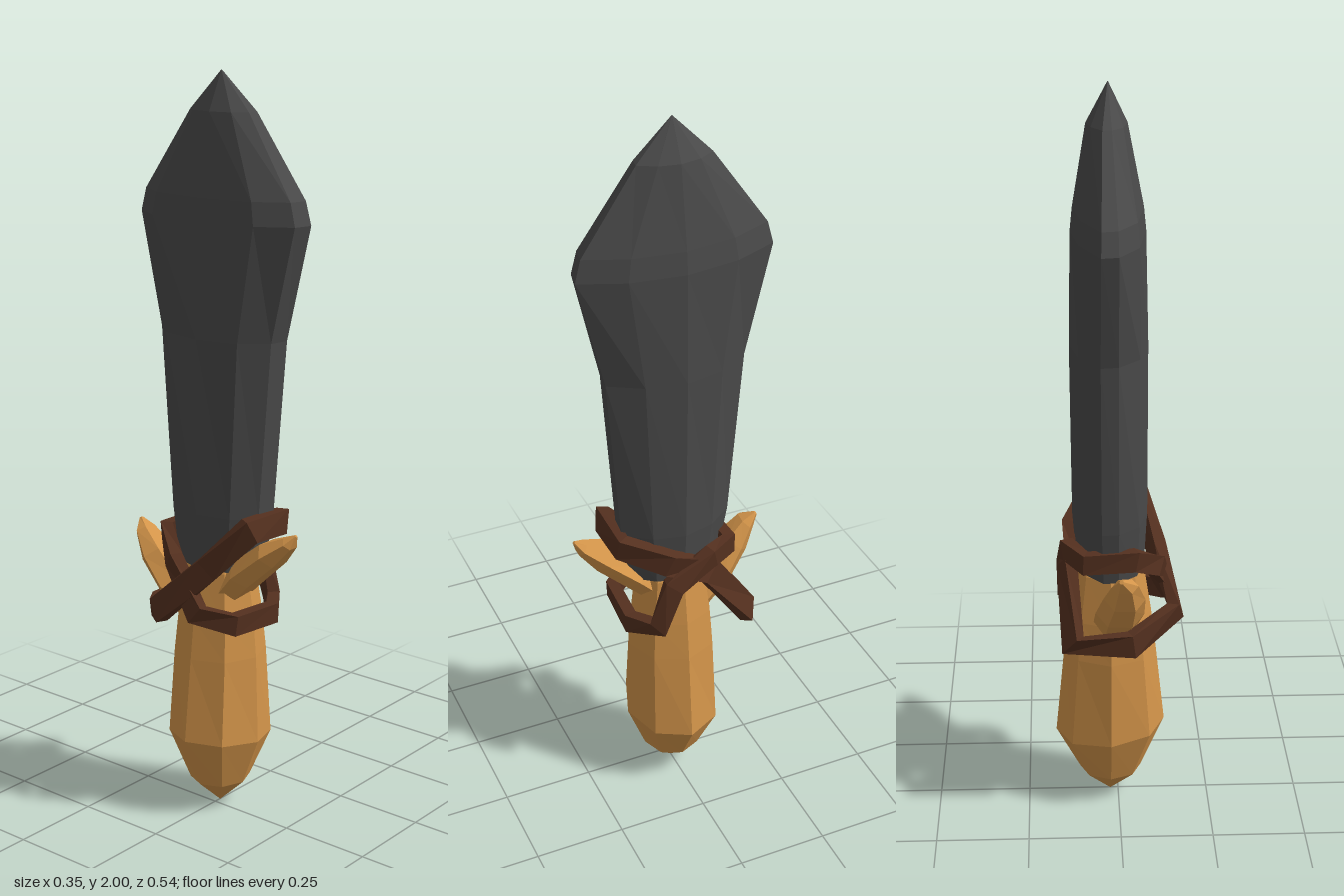
import * as THREE from 'three';

const V = (x, y, z) => new THREE.Vector3(x, y, z);
const material = color => new THREE.MeshStandardMaterial({ color, flatShading: true, roughness: 0.9 });

// Skins a list of equal-sized rings with flat facets; ends are closed with fans unless looped
function loft(rings, closed = false) {
  const pos = [];
  const tri = (...pts) => pts.forEach(p => pos.push(p.x, p.y, p.z));
  const n = rings[0].length;
  const count = closed ? rings.length : rings.length - 1;
  for (let i = 0; i < count; i++) {
    const lo = rings[i], hi = rings[(i + 1) % rings.length];
    for (let j = 0; j < n; j++) {
      const k = (j + 1) % n;
      tri(lo[j], hi[j], hi[k]);
      tri(lo[j], hi[k], lo[k]);
    }
  }
  if (!closed) {
    const first = rings[0], last = rings[rings.length - 1];
    for (let j = 1; j < n - 1; j++) {
      tri(first[0], first[j], first[j + 1]);
      tri(last[0], last[j + 1], last[j]);
    }
  }
  const geo = new THREE.BufferGeometry();
  geo.setAttribute('position', new THREE.Float32BufferAttribute(pos, 3));
  geo.computeVertexNormals();
  return geo;
}

function add(group, name, geo, mat) {
  const mesh = new THREE.Mesh(geo, mat);
  mesh.name = name;
  group.add(mesh);
}

// Blunt-edged leaf section, wide along z
const bladeSection = [[1, 0], [0.8, 0.55], [0.3, 1], [-0.25, 0.96], [-0.8, 0.62],
  [-1, 0], [-0.75, -0.65], [-0.2, -0.97], [0.25, -1], [0.78, -0.55]];

function bladeGeometry() {
  // y, half thickness, half width, centre x
  const rows = [[0.71, 0.09, 0.13, 0.02], [0.86, 0.1, 0.155, 0.022], [1.33, 0.102, 0.192, 0.024],
    [1.63, 0.096, 0.264, 0.025], [1.69, 0.09, 0.248, 0.025], [1.9, 0.052, 0.1, 0.028], [2, 0.001, 0.001, 0.025]];
  return loft(rows.map(([y, rx, rz, cx]) => bladeSection.map(([a, b]) => V(cx + a * rx, y, b * rz))));
}

// Faceted grip, slightly swollen near the pommel
function gripGeometry() {
  const rows = [[0.005, 0.001, 0.001], [0.08, 0.085, 0.08], [0.215, 0.15, 0.132], [0.46, 0.125, 0.124],
    [0.57, 0.112, 0.114], [0.7, 0.092, 0.095], [0.77, 0.055, 0.06]];
  return loft(rows.map(([y, rx, rz], i) => Array.from({ length: 8 }, (_, j) => {
    const a = j * Math.PI / 4;
    const wobble = i === 2 ? 0.015 * Math.cos(a) : 0;
    return V(0.022 + rx * Math.cos(a), y - wobble, rz * Math.sin(a));
  })));
}

// Bent horn: rows of [x, y, z, half width in x, half depth]
function hornGeometry(rows) {
  const pts = rows.map(r => V(r[0], r[1], r[2]));
  return loft(rows.map((r, i) => {
    const t = pts[Math.min(i + 1, pts.length - 1)].clone().sub(pts[Math.max(i - 1, 0)]).normalize();
    const side = V(1, 0, 0).addScaledVector(t, -t.x).normalize();
    const up = side.clone().cross(t);
    return Array.from({ length: 6 }, (_, j) => {
      const a = j * Math.PI / 3;
      return pts[i].clone().addScaledVector(side, r[3] * Math.cos(a)).addScaledVector(up, r[4] * Math.sin(a));
    });
  }));
}

// Closed strap of rectangular section facing away from the central axis
function strapGeometry(path, width = 0.066, thick = 0.034) {
  const pts = path.map(p => V(...p));
  const n = pts.length;
  return loft(pts.map((p, i) => {
    const t = pts[(i + 1) % n].clone().sub(pts[(i + n - 1) % n]).normalize();
    const out = V(p.x - 0.02, 0, p.z);
    out.addScaledVector(t, -out.dot(t)).normalize();
    const across = out.clone().cross(t);
    return [[1, -1], [1, 1], [-1, 1], [-1, -1]].map(([a, b]) =>
      p.clone().addScaledVector(out, a * thick / 2).addScaledVector(across, b * width / 2));
  }), true);
}

export function createModel() {
  const model = new THREE.Group();
  model.name = 'dagger';
  const stone = material(0x4a4a4a);
  const wood = material(0xd4954a);
  const leather = material(0x54301f);

  add(model, 'blade', bladeGeometry(), stone);
  add(model, 'grip', gripGeometry(), wood);

  // Horns of the guard, front and back
  add(model, 'frontHorn', hornGeometry([[0.01, 0.63, 0.04, 0.06, 0.04], [0.005, 0.705, 0.11, 0.075, 0.045],
    [0, 0.775, 0.195, 0.06, 0.04], [0, 0.815, 0.25, 0.03, 0.02], [0, 0.838, 0.27, 0.004, 0.004]]), wood);
  add(model, 'backHorn', hornGeometry([[0.01, 0.56, -0.07, 0.06, 0.045], [0, 0.63, -0.145, 0.065, 0.045],
    [-0.01, 0.7, -0.2, 0.055, 0.042], [-0.01, 0.755, -0.24, 0.035, 0.024], [0, 0.78, -0.265, 0.006, 0.006]]), wood);

  // Two straps crossing at the sides, each high on one edge and low on the other
  add(model, 'frontHighStrap', strapGeometry([[-0.06, 0.845, 0.165], [0.075, 0.84, 0.165], [0.128, 0.79, 0.05],
    [0.138, 0.74, -0.06], [0.125, 0.56, -0.185], [-0.03, 0.555, -0.18], [-0.152, 0.6, -0.07],
    [-0.105, 0.73, 0.06]]), leather);
  add(model, 'backHighStrap', strapGeometry([[-0.08, 0.585, 0.13], [0.07, 0.58, 0.14], [0.138, 0.595, 0.085],
    [0.142, 0.72, 0.045], [0.135, 0.785, -0.07], [0.09, 0.775, -0.14], [-0.04, 0.78, -0.135],
    [-0.1, 0.73, -0.06], [-0.135, 0.61, 0.05]], 0.055), leather);

  return model;
}
